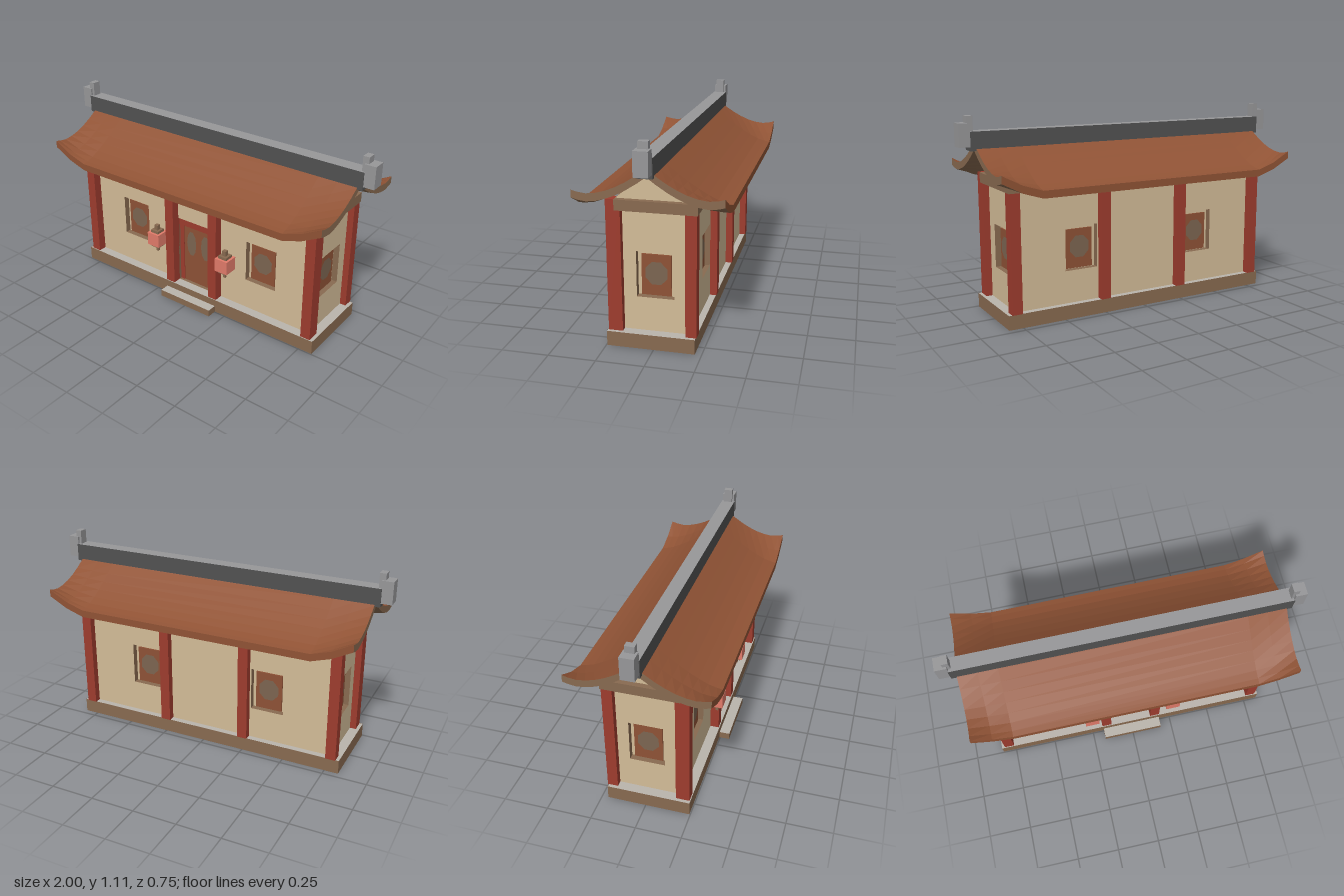
import * as THREE from 'three';

const mat = (name, color, side = THREE.FrontSide) => {
  const m = new THREE.MeshStandardMaterial({ color, side });
  m.name = name;
  return m;
};

export function createModel() {
  const plaster = mat('plaster', 0xd3bc98);
  const red = mat('red paint', 0x9e3c2e);
  const timber = mat('brown timber', 0x886a50, THREE.DoubleSide);
  const tile = mat('terracotta tile', 0x905335);
  const panelWood = mat('panel wood', 0x8e5236);
  const lattice = mat('lattice', 0x7c6551);
  const stone = mat('light stone', 0xbab4ac, THREE.DoubleSide);
  const grey = mat('ridge grey', 0x979799);
  const dark = mat('dark grey', 0x525252);
  const lanternRed = mat('lantern red', 0xe27b6a);

  const model = new THREE.Group();
  model.name = 'pavilion';

  const add = (name, geo, material, parent = model) => {
    const m = new THREE.Mesh(geo, material);
    m.name = name;
    parent.add(m);
    return m;
  };
  // Box given by its extents
  const box = (name, x0, x1, y0, y1, z0, z1, material, parent = model) => {
    const m = add(name, new THREE.BoxGeometry(x1 - x0, y1 - y0, z1 - z0), material, parent);
    m.position.set((x0 + x1) / 2, (y0 + y1) / 2, (z0 + z1) / 2);
    return m;
  };

  // Platform and step: hollow timber kerbs with a stone slab on top, open below
  function kerb(name, w, h, z0, z1) {
    const d = z1 - z0, z = (z0 + z1) / 2;
    let sides = new THREE.CylinderGeometry(Math.SQRT1_2, Math.SQRT1_2, h, 4, 1, true, Math.PI / 4);
    sides.scale(w, 1, d);
    sides = sides.toNonIndexed();
    sides.computeVertexNormals();
    add(name + 'Sides', sides, timber).position.set(0, h / 2, z);
    const slab = new THREE.PlaneGeometry(w, d);
    slab.rotateX(-Math.PI / 2);
    add(name + 'Top', slab, stone).position.set(0, h - 0.001, z);
  }
  kerb('platform', 1.66, 0.08, -0.215, 0.245);
  kerb('step', 0.36, 0.04, 0.246, 0.305);

  // Walls: a solid core with pierced outer skins, so openings are recessed
  const skin = 0.035;
  box('wallCore', -0.74, 0.74, 0.08, 0.75, -0.145, 0.155, plaster);

  const rect = (P, x0, x1, y0, y1) => {
    const p = new P();
    p.moveTo(x0, y0);
    p.lineTo(x1, y0);
    p.lineTo(x1, y1);
    p.lineTo(x0, y1);
    p.closePath();
    return p;
  };

  // Window: wooden panel with an eight-sided lattice plate
  function addWindow(parent, x) {
    const g = new THREE.Group();
    g.name = 'window';
    box('windowPanel', x - 0.078, x + 0.078, 0.267, 0.487, 0, 0.009, panelWood, g);
    const oct = new THREE.CircleGeometry(1, 8);
    oct.rotateZ(Math.PI / 8);
    oct.scale(0.062, 0.066, 1);
    add('windowLattice', oct, lattice, g).position.set(x, 0.387, 0.012);
    parent.add(g);
  }

  // Plaster face, timber reveals
  function addWall(name, half, windows, door) {
    const g = new THREE.Group();
    g.name = name;
    const shape = rect(THREE.Shape, -half, half, 0.08, 0.75);
    for (const x of windows) {
      shape.holes.push(rect(THREE.Path, x - 0.0975, x + 0.0975, 0.263, 0.508));
      addWindow(g, x);
    }
    if (door) shape.holes.push(rect(THREE.Path, -0.128, 0.125, 0.081, 0.5));
    const geo = new THREE.ExtrudeGeometry(shape, { depth: skin, bevelEnabled: false });
    add('wallSkin', geo, [plaster, timber], g);
    model.add(g);
    return g;
  }

  const front = addWall('frontWall', 0.77, [-0.455, 0.452], true);
  front.position.z = 0.155;
  const back = addWall('backWall', 0.77, [-0.385, 0.385], false);
  back.rotation.y = Math.PI;
  back.position.z = -0.145;
  for (const s of [-1, 1]) {
    const side = addWall('sideWall', 0.166, [0], false);
    side.rotation.y = s * Math.PI / 2;
    side.position.x = s * 0.74;
  }

  // Door with two oval lattice plates and a red frame
  box('door', -0.128, 0.125, 0.08, 0.46, 0, 0.015, panelWood, front);
  box('doorLintel', -0.128, 0.125, 0.455, 0.495, 0, 0.025, red, front);
  box('doorJamb', -0.128, -0.1, 0.08, 0.46, 0, 0.02, red, front);
  for (const x of [-0.045, 0.058]) {
    const oval = new THREE.CircleGeometry(1, 10);
    oval.scale(0.034, 0.082, 1);
    add('doorLattice', oval, lattice, front).position.set(x, 0.345, 0.018);
  }

  // Posts
  for (const x of [-0.782, -0.157, 0.153, 0.782])
    box('frontPost', x - 0.029, x + 0.029, 0.08, 0.782, 0.165, 0.24, red);
  for (const x of [-0.782, -0.25, 0.25, 0.782])
    box('backPost', x - 0.029, x + 0.029, 0.08, 0.735, -0.22, -0.162, red);

  // Tie beam and gables
  box('tieBeam', -0.815, 0.815, 0.727, 0.783, -0.225, 0.195, timber);
  const gable = new THREE.Shape([
    new THREE.Vector2(-0.195, 0.782), new THREE.Vector2(0.195, 0.782), new THREE.Vector2(0, 0.935),
  ]);
  for (const s of [-1, 1]) {
    const m = add('gable', new THREE.ExtrudeGeometry(gable, { depth: 0.03, bevelEnabled: false }), plaster);
    m.rotation.y = s * Math.PI / 2;
    m.position.x = s * 0.755;
  }

  // Roof: sagging slope whose eave corners sweep up towards the ends
  const end = 0.91, eave = 0.375, thick = 0.04;
  const xs = [-end, -0.8, -0.69, 0.69, 0.8, end];
  const slope = new THREE.SplineCurve([
    [0, 0.972], [0.1, 0.897], [0.2, 0.829], [0.3, 0.776], [eave, 0.757],
  ].map(p => new THREE.Vector2(...p))).getPoints(8);
  const roofPoint = (x, p, drop) => {
    const t = Math.max(0, (Math.abs(x) - 0.69) / (end - 0.69));
    const lift = 0.092 * Math.pow(t, 1.4) * (p.x / eave) ** 2;
    return [x, p.y + lift - drop, p.x];
  };
  // Flat-shaded sheet through a grid of points
  function sheet(nu, nv, point) {
    const pos = [];
    for (let i = 0; i < nu - 1; i++)
      for (let j = 0; j < nv - 1; j++) {
        const a = point(i, j), b = point(i + 1, j), c = point(i, j + 1), d = point(i + 1, j + 1);
        pos.push(...a, ...c, ...b, ...b, ...c, ...d);
      }
    const g = new THREE.BufferGeometry();
    g.setAttribute('position', new THREE.Float32BufferAttribute(pos, 3));
    g.computeVertexNormals();
    return g;
  }
  const n = slope.length, nx = xs.length;
  const topGeo = sheet(nx, n, (i, j) => roofPoint(xs[i], slope[j], 0));
  const eaveGeo = sheet(nx, 2, (i, j) => roofPoint(xs[i], slope[n - 1], j * thick));
  const underGeo = sheet(nx, n, (i, j) => roofPoint(xs[i], slope[n - 1 - j], thick));
  const leftEnd = sheet(n, 2, (i, j) => roofPoint(end, slope[i], (1 - j) * thick));
  const rightEnd = sheet(n, 2, (i, j) => roofPoint(-end, slope[i], j * thick));
  for (const turn of [0, Math.PI]) {
    const half = new THREE.Group();
    half.name = turn ? 'backRoof' : 'frontRoof';
    half.rotation.y = turn;
    add('roofTiles', topGeo, tile, half);
    add('eaveEdge', eaveGeo, tile, half);
    add('roofUnderside', underGeo, timber, half);
    add('leftVerge', leftEnd, timber, half);
    add('rightVerge', rightEnd, timber, half);
    model.add(half);
  }

  // Ridge with stepped end blocks
  box('ridge', -0.94, 0.94, 0.932, 1.033, -0.04, 0.04, [dark, dark, grey, dark, dark, dark]);
  for (const s of [-1, 1]) {
    const block = (name, x0, x1, y0, y1, z) =>
      box(name, Math.min(s * x0, s * x1), Math.max(s * x0, s * x1), y0, y1, -z, z, grey);
    block('ridgeEnd', 0.935, 1, 0.953, 1.077, 0.037);
    block('ridgeFinial', 0.92, 0.955, 1.03, 1.113, 0.025);
  }

  // Lanterns
  for (const s of [-1, 1]) {
    const g = new THREE.Group();
    g.name = 'lantern';
    g.position.set(s * 0.248, 0, 0.242);
    const part = (name, r, y0, y1, m) => box(name, -r, r, y0, y1, -r, r, m, g);
    part('lanternBody', 0.041, 0.312, 0.392, lanternRed);
    part('lanternCap', 0.027, 0.392, 0.408, timber);
    part('lanternHook', 0.012, 0.408, 0.438, timber);
    part('lanternBase', 0.027, 0.297, 0.312, timber);
    part('lanternTassel', 0.007, 0.264, 0.297, timber);
    model.add(g);
  }

  return model;
}
